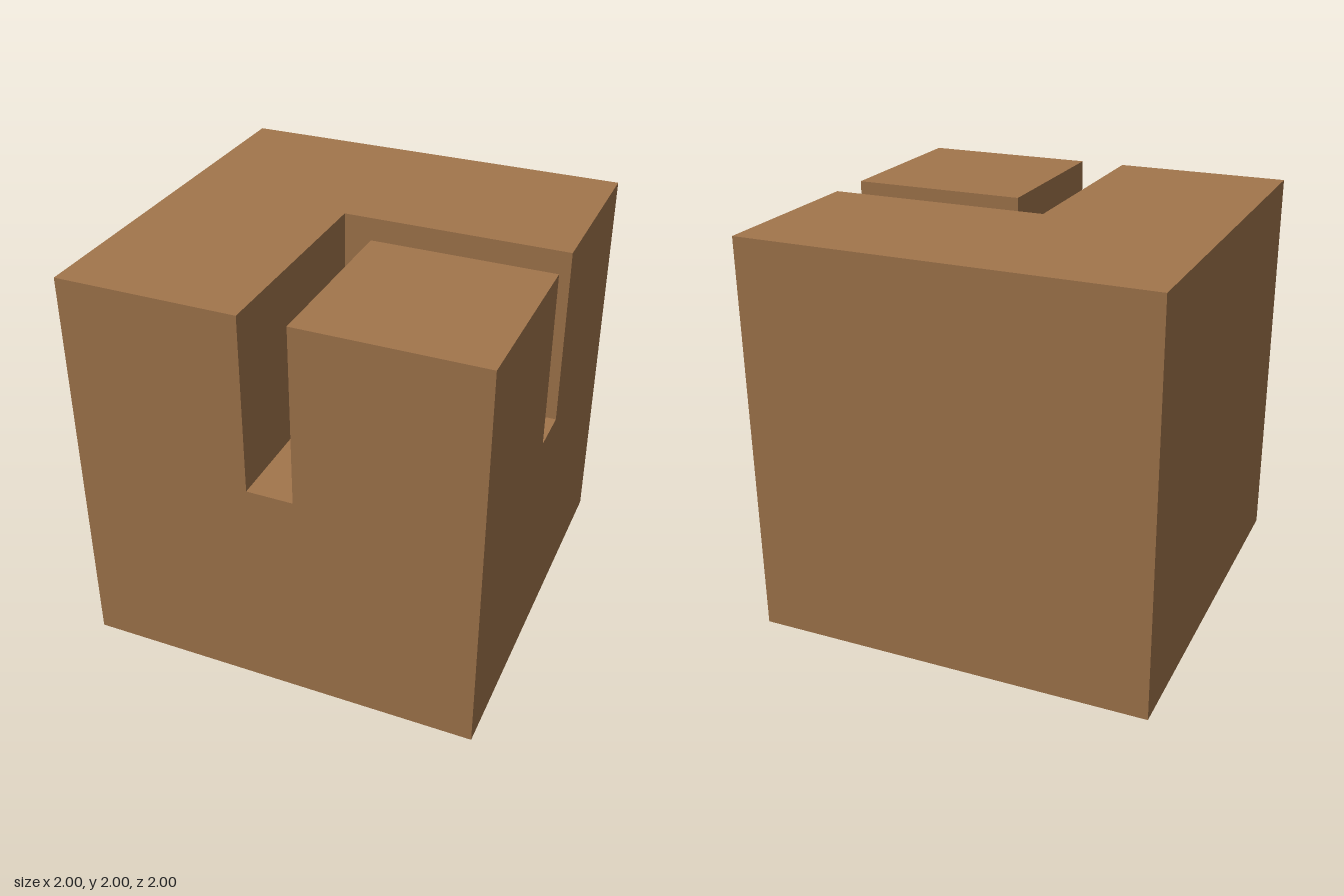
import * as THREE from 'three';
import { mergeGeometries } from 'three/addons/utils/BufferGeometryUtils.js';

const G = 0.115;     // half the groove width
const FLOOR = 1.11;  // height of the groove floor
const TOP = 2;

// Flat outline, placed along its normal and then turned to face outward
function face(points, offset, rotX, rotY) {
  const shape = new THREE.Shape(points.map(([x, y]) => new THREE.Vector2(x, y)));
  return new THREE.ShapeGeometry(shape).translate(0, 0, offset).rotateX(rotX).rotateY(rotY);
}

const rect = (x0, y0, x1, y1) => [[x0, y0], [x1, y0], [x1, y1], [x0, y1]];

export function createModel() {
  const q = Math.PI / 2;
  const plain = rect(-1, 0, 1, TOP);
  const notched = [[-1, 0], [1, 0], [1, TOP], [G, TOP], [G, FLOOR], [-G, FLOOR], [-G, TOP], [-1, TOP]];
  // Horizontal outlines use (x, -z)
  const lTop = [[-1, -1], [-G, -1], [-G, G], [1, G], [1, 1], [-1, 1]];
  const lFloor = [[-G, -1], [G, -1], [G, -G], [1, -G], [1, G], [-G, G]];

  const parts = {
    outerWalls: [
      face(notched, 1, 0, 0),
      face(notched, 1, 0, q),
      face(plain, 1, 0, 2 * q),
      face(plain, 1, 0, -q),
    ],
    underside: [face(rect(-1, -1, 1, 1), 0, q, 0)],
    mainTop: [face(lTop, TOP, -q, 0)],
    cornerBlockTop: [face(rect(G, -1, 1, -G), TOP, -q, 0)],
    grooveFloor: [face(lFloor, FLOOR, -q, 0)],
    grooveOuterWalls: [
      face(rect(-G, FLOOR, 1, TOP), -G, 0, 0),
      face(rect(-1, FLOOR, G, TOP), -G, 0, q),
    ],
    cornerBlockInnerWalls: [
      face(rect(-1, FLOOR, -G, TOP), -G, 0, 2 * q),
      face(rect(G, FLOOR, 1, TOP), -G, 0, -q),
    ],
  };

  const material = new THREE.MeshStandardMaterial({ color: 0xa2764c });
  const group = new THREE.Group();
  group.name = 'groovedBlock';
  for (const [name, faces] of Object.entries(parts)) {
    const mesh = new THREE.Mesh(mergeGeometries(faces), material);
    mesh.name = name;
    group.add(mesh);
  }
  return group;
}
